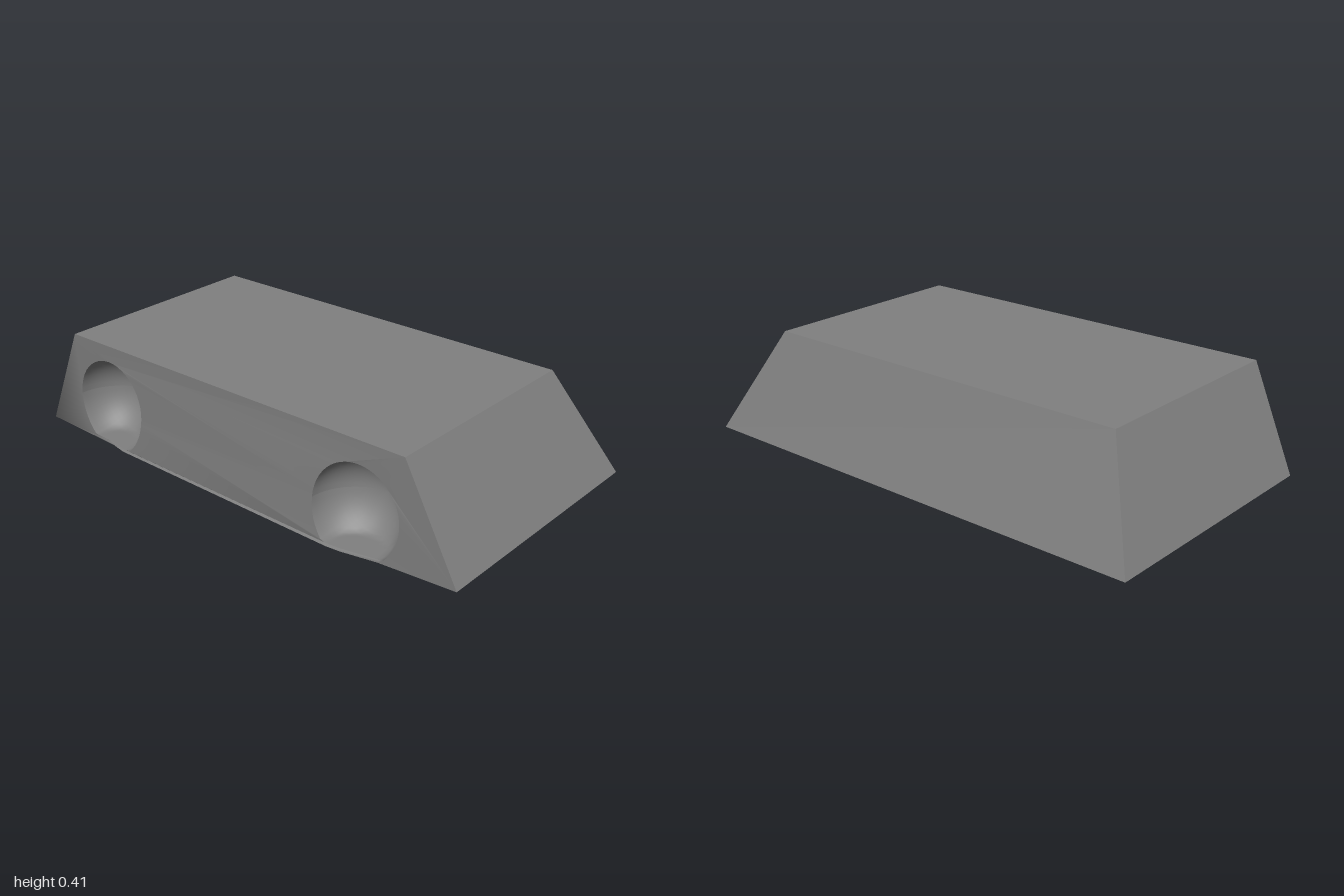
import * as THREE from 'three';

const H = 0.415;
// Front bottom edge, left to right: x, z
const EDGE = [[-1, 0.505], [-0.62, 0.523], [-0.55, 0.538], [0.5, 0.562], [0.56, 0.557], [0.7, 0.53], [1, 0.505]];
const SOCKETS = [
  { name: 'rightSocket', x: -0.62, y: 0.17, r: 0.18 },
  { name: 'leftSocket', x: 0.6, y: 0.155, r: 0.176 },
];
const DEPTH = 0.19;
const SEGMENTS = 48;

function edgeZ(x) {
  for (let i = 1; i < EDGE.length; i++) {
    const [x0, z0] = EDGE[i - 1], [x1, z1] = EDGE[i];
    if (x <= x1) return z0 + (z1 - z0) * (x - x0) / (x1 - x0);
  }
  return 0.505;
}

// The front wall leans out to the bulging bottom edge
const frontZ = (x, y) => THREE.MathUtils.lerp(edgeZ(x), 0.51, y / H);

// Sockets are cut flat just above the base
const socketY = (s, dy) => Math.max(0.012, s.y + dy * (dy < 0 ? 1.1 : 1));

function quad(a, b, c, d) {
  const g = new THREE.BufferGeometry();
  g.setAttribute('position', new THREE.Float32BufferAttribute([a, b, c, a, c, d].flat(), 3));
  g.computeVertexNormals();
  return g;
}

function frontGeometry() {
  const shape = new THREE.Shape([
    ...EDGE.map(([x]) => new THREE.Vector2(x, 0)),
    new THREE.Vector2(0.785, H), new THREE.Vector2(-0.82, H),
  ]);
  for (const s of SOCKETS) {
    const rim = [];
    for (let i = 0; i < SEGMENTS; i++) {
      const a = -i / SEGMENTS * Math.PI * 2;
      rim.push(new THREE.Vector2(s.x + Math.cos(a) * s.r, socketY(s, Math.sin(a) * s.r)));
    }
    shape.holes.push(new THREE.Path(rim));
  }
  const g = new THREE.ShapeGeometry(shape);
  const p = g.attributes.position;
  for (let i = 0; i < p.count; i++) p.setZ(i, frontZ(p.getX(i), p.getY(i)));
  g.computeVertexNormals();
  return g;
}

// Hemispherical bowl opening towards the front, with a flat floor
function socketGeometry(s) {
  const g = new THREE.SphereGeometry(s.r, SEGMENTS, 14, 0, Math.PI * 2, 0, Math.PI / 2);
  g.rotateX(-Math.PI / 2);
  const p = g.attributes.position;
  for (let i = 0; i < p.count; i++) {
    const x = s.x + p.getX(i), y = socketY(s, p.getY(i));
    p.setXYZ(i, x, y, frontZ(x, y) + p.getZ(i) * DEPTH / s.r);
  }
  g.computeVertexNormals();
  return g;
}

export function createModel() {
  const group = new THREE.Group();
  const grey = new THREE.MeshStandardMaterial({ color: 0x808080, side: THREE.DoubleSide });
  grey.name = 'grey';
  const add = (name, geometry) => {
    const mesh = new THREE.Mesh(geometry, grey);
    mesh.name = name;
    group.add(mesh);
  };

  // Corners of the tapered block
  const bfl = [-1, 0, 0.505], bfr = [1, 0, 0.505], bbr = [1, 0, -0.553], bbl = [-1, 0, -0.567];
  const tfl = [-0.82, H, 0.51], tfr = [0.785, H, 0.51], tbr = [0.785, H, -0.388], tbl = [-0.82, H, -0.388];
  add('top', quad(tfl, tfr, tbr, tbl));
  add('back', quad(bbr, bbl, tbl, tbr));
  add('rightSide', quad(bbl, bfl, tfl, tbl));
  add('leftSide', quad(bfr, bbr, tbr, tfr));

  // Base follows the bulging front edge
  const base = new THREE.ShapeGeometry(new THREE.Shape([
    ...EDGE.map(([x, z]) => new THREE.Vector2(x, z)),
    new THREE.Vector2(1, -0.553), new THREE.Vector2(-1, -0.567),
  ]));
  base.rotateX(Math.PI / 2);
  // The turned shape must face down
  base.computeVertexNormals();
  add('base', base);

  add('front', frontGeometry());
  for (const s of SOCKETS) add(s.name, socketGeometry(s));
  return group;
}
